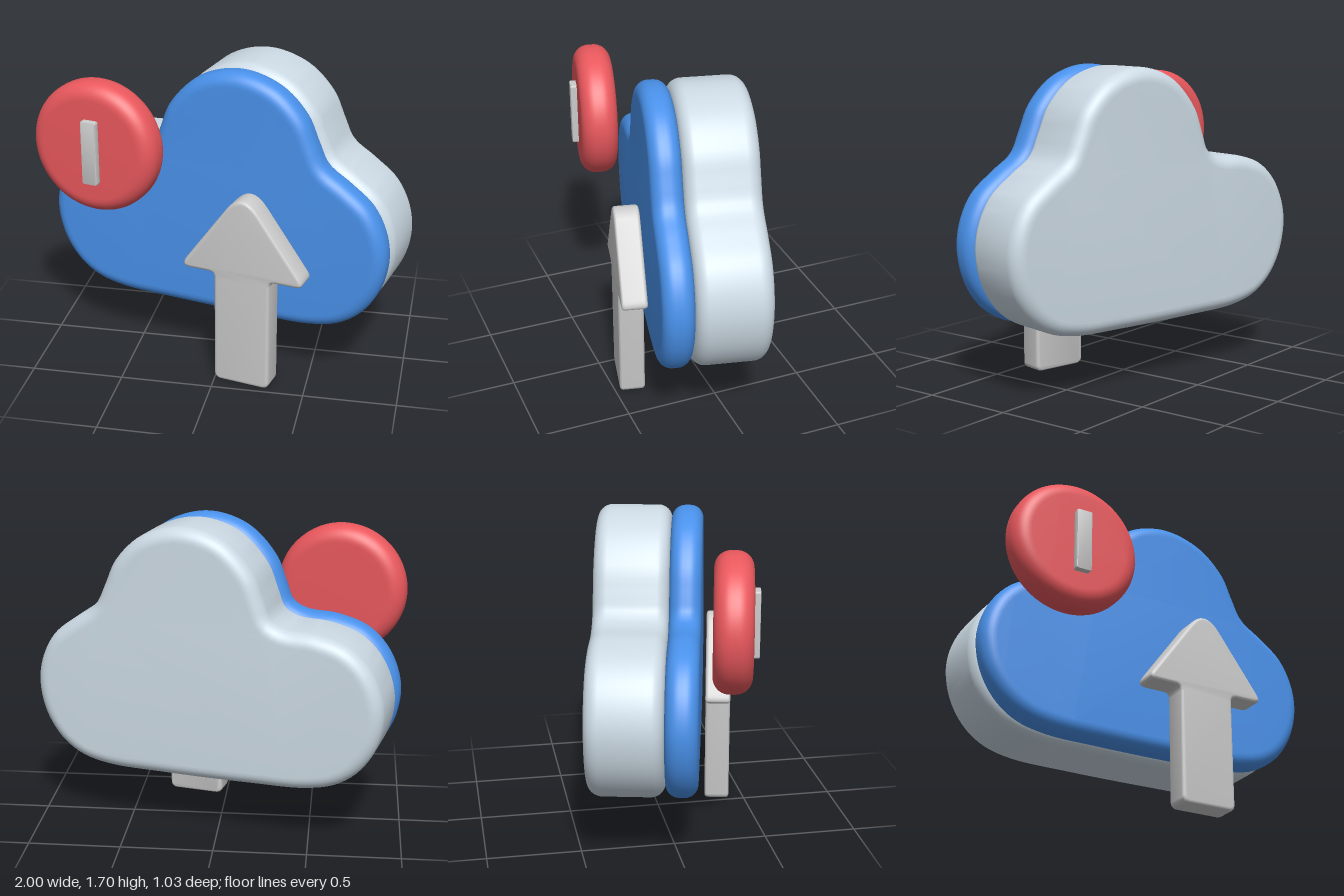
import * as THREE from 'three';
import { toCreasedNormals } from 'three/addons/utils/BufferGeometryUtils.js';

// Solid slab from a shape, spanning z0..z1, with rounded rims kept inside the outline
function slab(name, shape, z0, z1, rim, color, steps = 6) {
  const geo = new THREE.ExtrudeGeometry(shape, {
    depth: z1 - z0 - 2 * rim, bevelThickness: rim, bevelSize: rim, bevelOffset: -rim,
    bevelSegments: steps, curveSegments: 48,
  });
  geo.translate(0, 0, z0 + rim);
  const mesh = new THREE.Mesh(toCreasedNormals(geo, 0.6), new THREE.MeshStandardMaterial({ color }));
  mesh.name = name;
  return mesh;
}

// Polygon with rounded corners; each corner is [x, y, radius along the edges]
function roundedPolygon(corners) {
  const path = new THREE.Shape();
  const n = corners.length;
  corners.forEach(([x, y, r], i) => {
    const toward = ([tx, ty]) => {
      const l = Math.hypot(tx - x, ty - y);
      return [x + (tx - x) * r / l, y + (ty - y) * r / l];
    };
    const a = toward(corners[(i + n - 1) % n]);
    const b = toward(corners[(i + 1) % n]);
    if (i === 0) path.moveTo(...a); else path.lineTo(...a);
    path.quadraticCurveTo(x, y, ...b);
  });
  path.closePath();
  return new THREE.Shape(path.getPoints(8).slice(0, -1));
}

// Cloud outline: one tall bump between two side lobes over a flat base
function cloudShape() {
  const points = [
    [0.127, 1.70], [0.35, 1.64], [0.50, 1.50], [0.565, 1.36], [0.62, 1.25], [0.74, 1.165],
    [0.87, 1.06], [0.945, 0.92], [0.967, 0.77], [0.93, 0.60], [0.84, 0.46], [0.72, 0.375],
    [0.56, 0.335], [0.25, 0.325], [-0.25, 0.325], [-0.56, 0.335], [-0.72, 0.375],
    [-0.84, 0.46], [-0.93, 0.60], [-0.965, 0.77], [-0.945, 0.90], [-0.88, 1.03],
    [-0.77, 1.13], [-0.60, 1.185], [-0.43, 1.20], [-0.355, 1.24], [-0.318, 1.33],
    [-0.255, 1.48], [-0.094, 1.64],
  ].map(([x, y]) => new THREE.Vector3(x, y, 0));
  const curve = new THREE.CatmullRomCurve3(points, true);
  const outline = curve.getSpacedPoints(160).slice(0, -1);
  return new THREE.Shape(outline.map((p) => new THREE.Vector2(p.x, p.y)));
}

export function createModel() {
  const model = new THREE.Group();
  model.name = 'cloudUploadIcon';

  // Thick pale cloud behind, thin blue cloud in front
  const cloud = cloudShape();
  model.add(slab('backCloud', cloud, -0.33, 0.07, 0.075, 0xccdae4, 8));
  model.add(slab('frontCloud', cloud, 0.07, 0.238, 0.07, 0x4991ea, 8));

  // Upward arrow, mirrored about its own centre line
  const c = 0.246;
  const half = [[0.158, 0, 0.04], [0.158, 0.645, 0.03], [0.362, 0.645, 0.07]];
  const arrow = roundedPolygon([
    ...half.map(([x, y, r]) => [c + x, y, r]),
    [c, 1.145, 0.16],
    ...half.slice().reverse().map(([x, y, r]) => [c - x, y, r]),
  ]);
  model.add(slab('arrow', arrow, 0.262, 0.40, 0.018, 0xcccccc, 4));

  // Round badge with a raised bar on its face
  const disc = new THREE.Shape().absarc(-0.571, 1.27, 0.36, 0, Math.PI * 2);
  model.add(slab('badge', disc, 0.302, 0.502, 0.085, 0xe9585d, 10));
  const bar = roundedPolygon([
    [-0.604, 1.09, 0.012], [-0.517, 1.09, 0.012], [-0.517, 1.44, 0.012], [-0.604, 1.44, 0.012],
  ]);
  model.add(slab('badgeBar', bar, 0.48, 0.537, 0.006, 0xcccccc, 2));

  // The whole icon is turned slightly to one side
  model.rotation.y = -0.222;
  return model;
}
